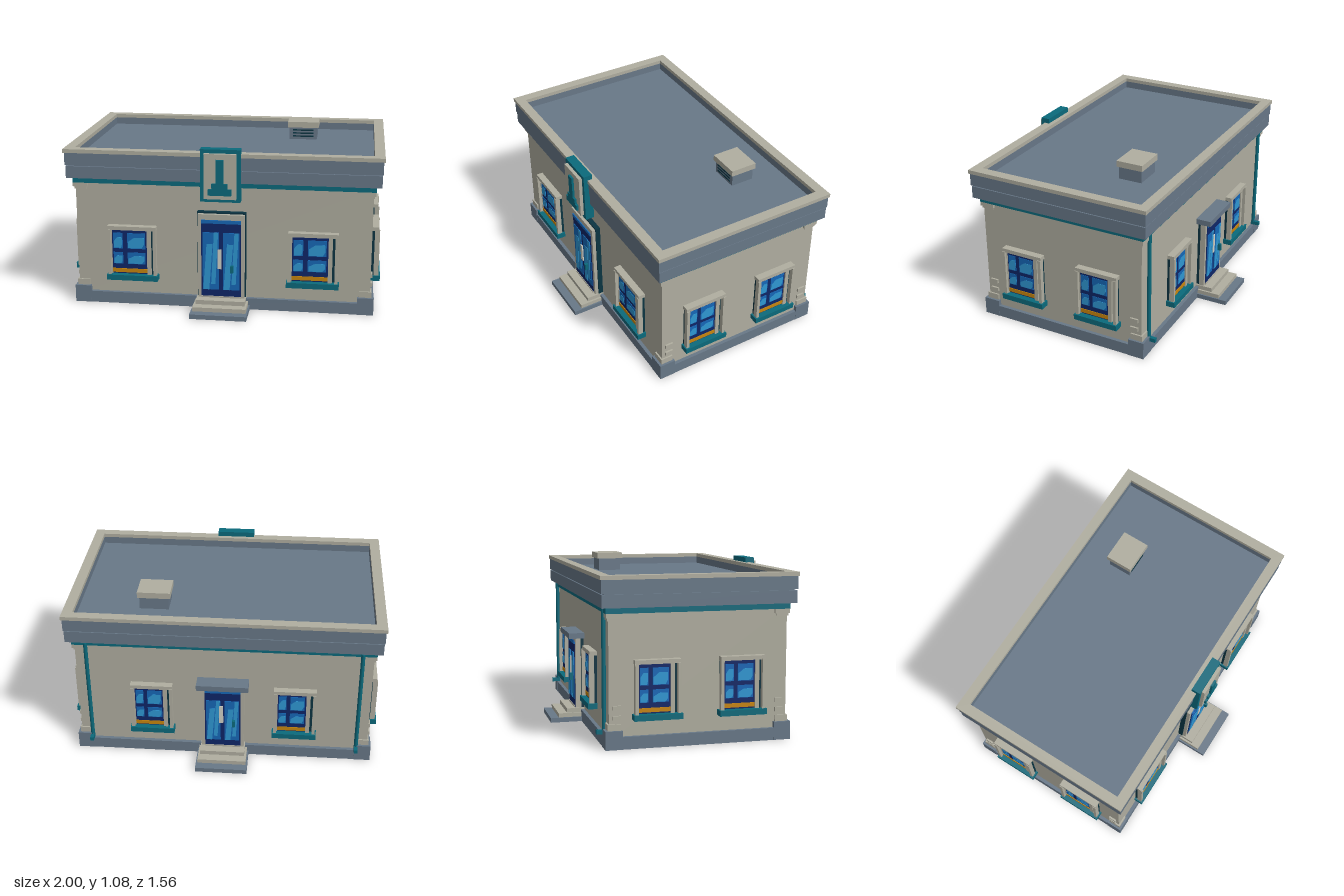
import * as THREE from 'three';

const flat = (name, color) => {
  const m = new THREE.MeshStandardMaterial({ color });
  m.name = name;
  return m;
};
const stone = flat('stone', 0xb0aea0);
const slate = flat('slate', 0x687888);
const teal = flat('teal', 0x0b6a7c);
const darkTeal = flat('dark teal', 0x0b3442);
const navy = flat('navy glass', 0x0e2668);
const blue = flat('blue glass', 0x1668b8);
const sky = flat('light glass', 0x2f98d4);
const gold = flat('gold', 0xc8860e);
const pale = flat('pale metal', 0xd2d2c8);

// Box given by its limits on each axis
function box(parent, name, mat, x0, x1, y0, y1, z0, z1) {
  const mesh = new THREE.Mesh(new THREE.BoxGeometry(x1 - x0, y1 - y0, z1 - z0), mat);
  mesh.position.set((x0 + x1) / 2, (y0 + y1) / 2, (z0 + z1) / 2);
  mesh.name = name;
  parent.add(mesh);
  return mesh;
}

// Thin plate facing +z from outline points
function plate(parent, name, mat, pts, z, depth = 0.003) {
  const shape = new THREE.Shape(pts.map(p => new THREE.Vector2(p[0], p[1])));
  const mesh = new THREE.Mesh(new THREE.ExtrudeGeometry(shape, { depth, bevelEnabled: false }), mat);
  mesh.position.z = z;
  mesh.name = name;
  parent.add(mesh);
}

// Rectangular ring lying flat, open in the middle
function ring(parent, name, mat, hx, hz, ix, iz, y0, y1) {
  const rect = (C, a, b) => new C([[-a, -b], [a, -b], [a, b], [-a, b]].map(p => new THREE.Vector2(...p)));
  const shape = rect(THREE.Shape, hx, hz);
  shape.holes.push(rect(THREE.Path, ix, iz));
  const geo = new THREE.ExtrudeGeometry(shape, { depth: y1 - y0, bevelEnabled: false });
  geo.rotateX(-Math.PI / 2);
  const mesh = new THREE.Mesh(geo, mat);
  mesh.position.y = y0;
  mesh.name = name;
  parent.add(mesh);
}

// Window built against z = 0, facing +z
function makeWindow(w) {
  const g = new THREE.Group();
  g.name = 'window';
  const h = w / 2;
  box(g, 'windowCasing', darkTeal, -h + 0.005, h - 0.005, 0.2, 0.515, 0, 0.02);
  for (const s of [-1, 1]) {
    const x = s * (h - 0.01);
    box(g, 'windowStile', stone, x - 0.01, x + 0.01, 0.2, 0.51, 0.018, 0.05);
  }
  box(g, 'windowHeader', stone, -h, h, 0.505, 0.53, 0, 0.045);
  box(g, 'windowSill', teal, -h - 0.008, h + 0.008, 0.172, 0.207, 0, 0.06);
  box(g, 'windowJamb', stone, h - 0.062, h - 0.036, 0.207, 0.505, 0.018, 0.035);
  box(g, 'innerLeftJamb', stone, -h + 0.02, -h + 0.026, 0.207, 0.505, 0.018, 0.03);
  const l = -h + 0.025, r = h - 0.062, gw = r - l;
  box(g, 'glass', navy, l, r, 0.21, 0.505, 0.018, 0.026);
  box(g, 'goldStrip', gold, l, r, 0.217, 0.243, 0.026, 0.03);
  // Four panes with lighter reflections
  for (const [a, b] of [[0.04, 0.31], [0.44, 0.95]]) {
    for (const [y0, y1] of [[0.275, 0.352], [0.378, 0.482]]) {
      const x0 = l + a * gw, x1 = l + b * gw, pw = x1 - x0, ph = y1 - y0;
      box(g, 'pane', blue, x0, x1, y0, y1, 0.026, 0.029);
      plate(g, 'paneReflection', sky, [
        [x0 + pw * 0.05, y0 + ph * 0.04], [x0 + pw * 0.8, y0 + ph * 0.04], [x1 - pw * 0.06, y0 + ph * 0.3],
        [x1 - pw * 0.06, y0 + ph * 0.72], [x0 + pw * 0.4, y0 + ph * 0.72], [x0 + pw * 0.05, y0 + ph * 0.45]
      ], 0.029, 0.002);
    }
  }
  return g;
}

// Glazed double door built against z = 0, facing +z
function makeDoor(h, top) {
  const g = new THREE.Group();
  g.name = 'door';
  const bottom = 0.08, jamb = 0.022;
  for (const s of [-1, 1]) {
    const x = s * (h + jamb / 2);
    box(g, 'doorJamb', stone, x - jamb / 2, x + jamb / 2, bottom, top + 0.035, 0.02, 0.055);
  }
  box(g, 'doorHead', stone, -h, h, top, top + 0.035, 0.02, 0.055);
  box(g, 'doorPanel', navy, -h, h, bottom, top, 0.01, 0.058);
  box(g, 'doorTopStrip', blue, -h, h, top - 0.022, top, 0.05, 0.062);
  box(g, 'threshold', stone, -h, h, bottom, bottom + 0.015, 0.05, 0.062);
  // Leaves with slanted reflections
  const y0 = 0.14, y1 = top - 0.08, lw = h - 0.022, rise = y1 - y0;
  for (const s of [-1, 1]) {
    const c = s * (h / 2 + 0.002), x0 = c - lw / 2;
    box(g, 'doorLeaf', blue, x0, x0 + lw, y0, y1, 0.055, 0.062);
    for (const [a, b, slant, low, high] of [[0.03, 0.4, 0.22, 0, 0.8], [0.52, 0.78, 0.18, 0.1, 1]]) {
      const ya = y0 + rise * low, yb = y0 + rise * high;
      plate(g, 'leafReflection', sky, [
        [x0 + a * lw, ya], [x0 + b * lw, ya], [x0 + (b + slant) * lw, yb], [x0 + (a + slant) * lw, yb]
      ], 0.062, 0.002);
    }
  }
  box(g, 'pullBar', pale, -0.022, 0.004, 0.28, 0.41, 0.058, 0.066);
  box(g, 'doorHandle', teal, 0.062, 0.08, 0.262, 0.308, 0.06, 0.085);
  return g;
}

export function createModel() {
  const model = new THREE.Group();
  model.name = 'building';
  const HX = 0.94, HZ = 0.55;

  // Walls and plinth
  box(model, 'walls', stone, -HX, HX, 0.05, 0.82, -HZ, HZ);
  box(model, 'plinth', slate, -0.962, 0.962, 0, 0.075, -0.573, 0.573);

  // Corner blocks and capitals
  for (const sx of [-1, 1]) for (const sz of [-1, 1]) {
    const corner = (name, mat, inner, outX, outZ, y0, y1) => {
      const xs = [sx * (HX - inner), sx * outX].sort((a, b) => a - b);
      const zs = [sz * (HZ - inner), sz * outZ].sort((a, b) => a - b);
      box(model, name, mat, xs[0], xs[1], y0, y1, zs[0], zs[1]);
    };
    corner('cornerFoot', slate, 0.08, 0.964, 0.575, 0, 0.112);
    corner('cornerBase', stone, 0.07, 0.95, 0.56, 0.11, 0.15);
    corner('capitalLower', stone, 0.07, 0.947, 0.557, 0.76, 0.778);
    corner('capitalUpper', stone, 0.08, 0.955, 0.565, 0.776, 0.802);
    for (const y of [0.175, 0.235]) {
      const x = sx * (HX + 0.004), z = sz * 0.504;
      box(model, 'sideBlock', stone, x - 0.008, x + 0.008, y, y + 0.025, z - 0.026, z + 0.026);
    }
  }

  // Cornice, parapet and roof
  box(model, 'corniceTrim', teal, -0.955, 0.955, 0.802, 0.84, -0.567, 0.567);
  box(model, 'lowerBand', slate, -0.988, 0.988, 0.838, 0.915, -0.596, 0.596);
  box(model, 'bandGroove', slate, -0.975, 0.975, 0.9, 0.94, -0.583, 0.583);
  ring(model, 'upperBand', slate, 0.992, 0.6, 0.935, 0.543, 0.922, 1.002);
  ring(model, 'parapetCap', stone, 1, 0.606, 0.935, 0.543, 1.002, 1.026);
  box(model, 'roof', slate, -0.94, 0.94, 0.93, 0.955, -0.545, 0.545);

  // Roof vent
  box(model, 'ventBase', slate, 0.362, 0.548, 0.95, 1.04, -0.345, -0.192);
  box(model, 'ventCap', stone, 0.35, 0.56, 1.037, 1.076, -0.357, -0.18);
  for (let i = 0; i < 3; i++) {
    box(model, 'ventSlot', darkTeal, 0.385, 0.525, 0.972 + i * 0.021, 0.981 + i * 0.021, -0.194, -0.189);
  }

  // Windows on all four walls
  const addWindow = (w, x, z, ry) => {
    const win = makeWindow(w);
    win.position.set(x, 0, z);
    win.rotation.y = ry;
    model.add(win);
  };
  for (const s of [-1, 1]) {
    addWindow(0.315, s * 0.577, HZ, 0);
    addWindow(0.27, s * 0.46, -HZ, Math.PI);
    addWindow(0.28, HX, s * 0.262, Math.PI / 2);
    addWindow(0.28, -HX, s * 0.262, -Math.PI / 2);
  }

  // Front door with dark surround, back door with canopy
  const front = makeDoor(0.126, 0.6);
  front.position.z = HZ;
  for (const s of [-1, 1]) {
    box(front, 'doorSurround', darkTeal, s * 0.138 - 0.016, s * 0.138 + 0.016, 0.075, 0.645, 0, 0.032);
  }
  box(front, 'doorSurroundTop', darkTeal, -0.154, 0.154, 0.6, 0.645, 0, 0.032);
  model.add(front);
  const back = makeDoor(0.115, 0.53);
  back.position.z = -HZ;
  back.rotation.y = Math.PI;
  box(back, 'doorSurround', darkTeal, -0.13, 0.13, 0.075, 0.56, 0, 0.022);
  box(back, 'canopy', slate, -0.165, 0.165, 0.55, 0.586, 0, 0.1);
  model.add(back);

  // Steps at both doors
  for (const [s, wide] of [[1, 0.18], [-1, 0.167]]) {
    const steps = new THREE.Group();
    steps.name = 'steps';
    if (s < 0) steps.rotation.y = Math.PI;
    box(steps, 'lowerStep', slate, -wide, wide, 0, 0.03, 0.5, 0.778);
    box(steps, 'middleStep', stone, -wide + 0.01, wide - 0.01, 0.03, 0.057, 0.5, 0.724);
    box(steps, 'upperStep', stone, -wide + 0.023, wide - 0.023, 0.057, 0.085, 0.5, 0.667);
    model.add(steps);
  }

  // Sign board with a plain stepped pillar relief
  box(model, 'signBoard', teal, -0.125, 0.125, 0.725, 1.058, 0.573, 0.632);
  box(model, 'signPanel', stone, -0.1, 0.1, 0.748, 1.034, 0.63, 0.654);
  for (const [w, y0, y1] of [[0.072, 0.775, 0.815], [0.05, 0.815, 0.85], [0.024, 0.85, 1.0]]) {
    box(model, 'signRelief', teal, -w, w, y0, y1, 0.652, 0.668);
  }

  // Rain pipes on the back wall
  for (const s of [-1, 1]) {
    const pipe = new THREE.Mesh(new THREE.CylinderGeometry(0.013, 0.013, 0.73, 8), teal);
    pipe.position.set(s * 0.868, 0.455, -0.564);
    pipe.name = 'rainPipe';
    model.add(pipe);
    box(model, 'pipeOutlet', teal, s * 0.868 - 0.012, s * 0.868 + 0.012, 0.08, 0.105, -0.612, -0.555);
  }
  return model;
}
